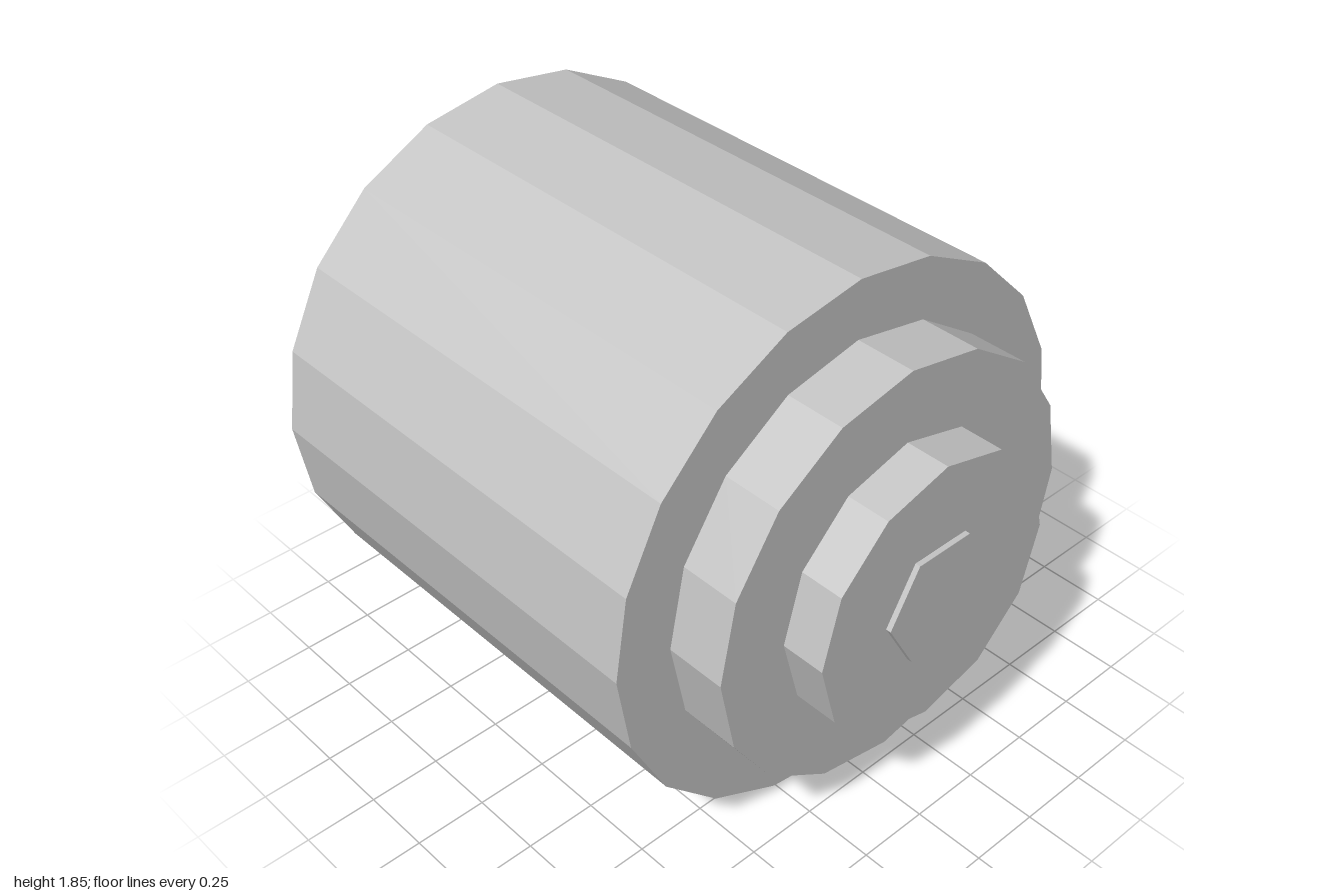
import * as THREE from 'three';

const CENTRE_Y = 0.927;

export function createModel() {
  const model = new THREE.Group();
  model.name = 'steppedCylinder';

  const grey = new THREE.MeshStandardMaterial({ color: 0xc4c4c4, flatShading: true });
  grey.name = 'lightGrey';

  // Faceted disc lying along z, with a corner on the +x axis
  function addStep(name, radius, sides, zBack, zFront) {
    const geometry = new THREE.CylinderGeometry(
      radius, radius, zFront - zBack, sides, 1, false, Math.PI / 2);
    geometry.rotateX(Math.PI / 2);
    const mesh = new THREE.Mesh(geometry, grey);
    mesh.name = name;
    mesh.position.set(0, CENTRE_Y, (zBack + zFront) / 2);
    model.add(mesh);
  }

  // Each step towards the front is narrower and has fewer sides
  addStep('mainBody', 0.927, 20, -1, 0.622);
  addStep('frontCollar', 0.725, 16, 0.622, 0.83);
  addStep('frontRing', 0.478, 12, 0.83, 0.982);
  addStep('hexCap', 0.215, 6, 0.982, 1);

  return model;
}
